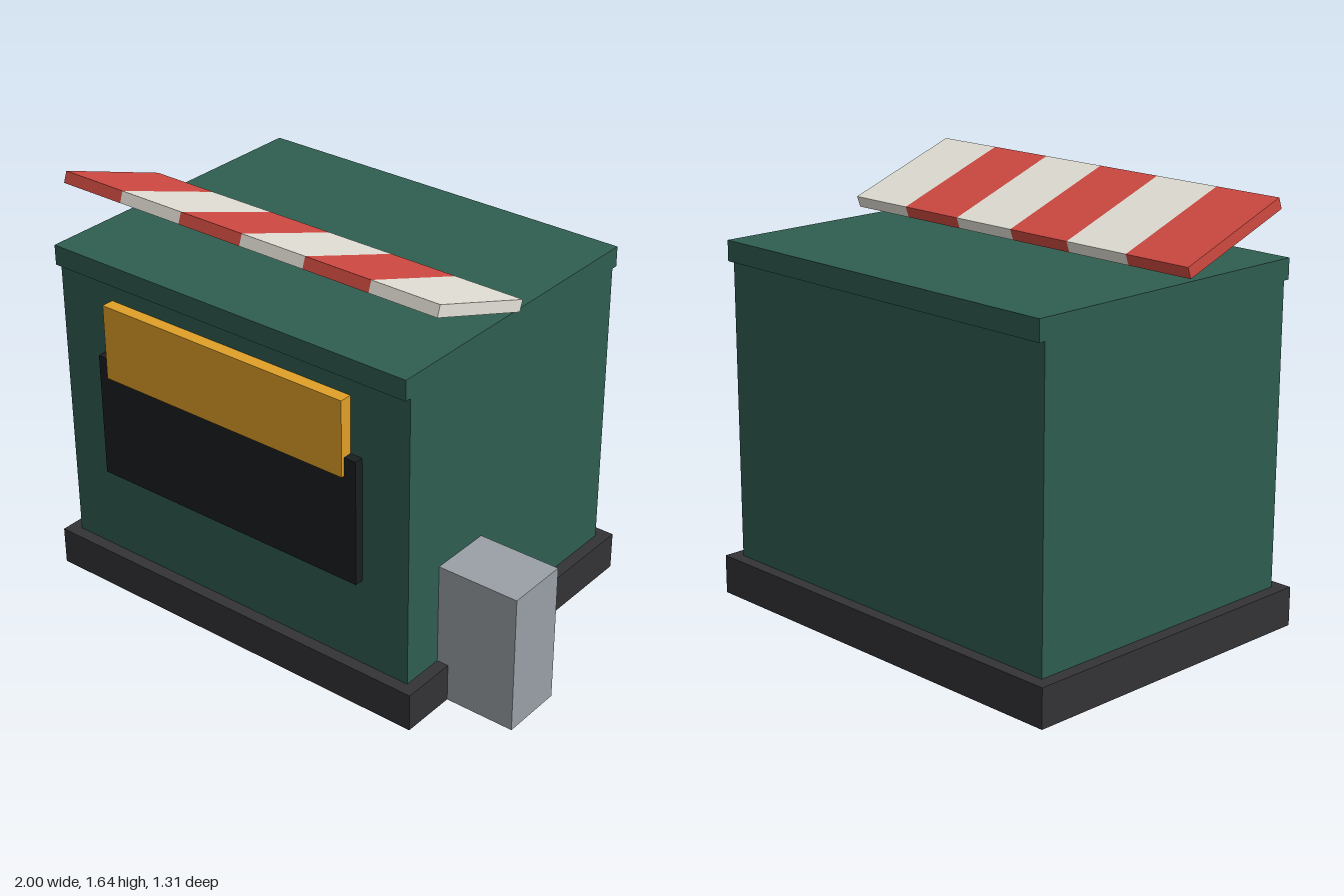
import * as THREE from 'three';

const mat = (color) => new THREE.MeshStandardMaterial({ color });

// Box given by its min and max on each axis
function box(name, [x0, x1], [y0, y1], [z0, z1], material) {
  const mesh = new THREE.Mesh(new THREE.BoxGeometry(x1 - x0, y1 - y0, z1 - z0), material);
  mesh.position.set((x0 + x1) / 2, (y0 + y1) / 2, (z0 + z1) / 2);
  mesh.name = name;
  return mesh;
}

export function createModel() {
  const model = new THREE.Group();
  model.name = 'kiosk';
  const green = mat(0x2f5d50);

  // Plinth, walls and roof slab
  model.add(
    box('base', [-1, 0.716], [0, 0.152], [-0.656, 0.656], mat(0x333336)),
    box('walls', [-0.95, 0.668], [0.152, 1.32], [-0.607, 0.607], green),
    box('roof', [-0.95, 0.668], [1.32, 1.4], [-0.633, 0.633], green)
  );

  // Serving hatch with the sign board over it
  model.add(
    box('hatch', [-0.747, 0.465], [0.51, 1.014], [0.59, 0.643], mat(0x1a1e20)),
    box('signBoard', [-0.696, 0.414], [0.94, 1.242], [0.59, 0.656], mat(0xe0a028))
  );

  // Side cabinet
  model.add(box('sideCabinet', [0.66, 1], [0, 0.56], [0.178, 0.43], mat(0x9aa0a6)));

  // Tilted awning of alternating stripes
  const awning = new THREE.Group();
  awning.name = 'awning';
  const stripeMaterials = [mat(0xd04a42), mat(0xe4e1d8)];
  const count = 6, width = 1.7 / count;
  for (let i = 0; i < count; i++) {
    const x = -0.85 + i * width;
    awning.add(box('awningStripe', [x, x + width], [-0.0225, 0.0225], [-0.253, 0.253], stripeMaterials[i % 2]));
  }
  awning.position.set(-0.141, 1.532, 0.279);
  awning.rotation.x = -0.35;
  model.add(awning);

  return model;
}
